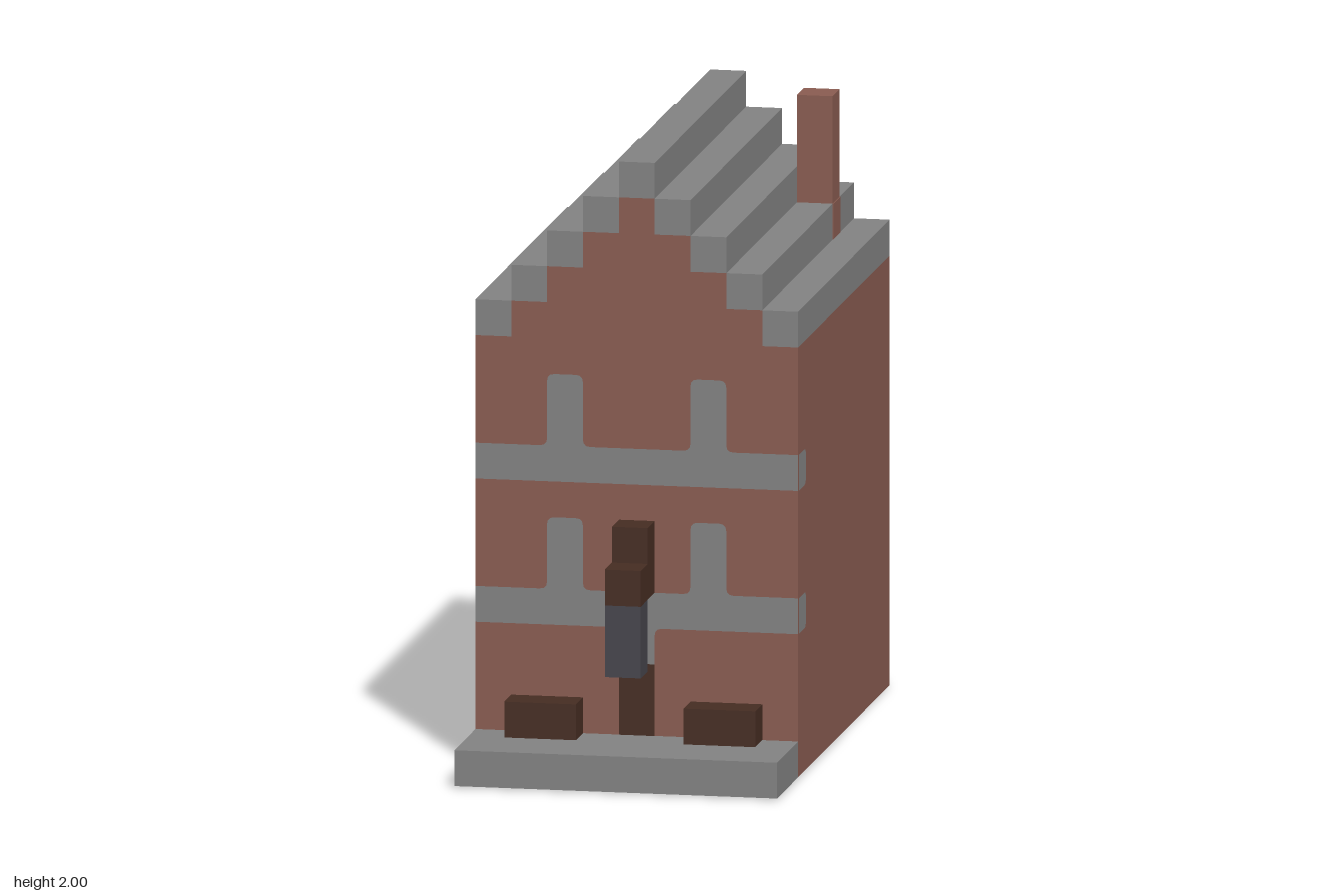
import * as THREE from 'three';

const mat = (name, color) => {
  const m = new THREE.MeshStandardMaterial({ color });
  m.name = name;
  return m;
};

export function createModel() {
  const brick = mat('brick', 0x885b50);
  const stone = mat('stone grey', 0x818181);
  const wood = mat('dark wood', 0x452c22);
  const slate = mat('slate', 0x45444b);

  // Everything is measured in blocks, 17 blocks tall
  const house = new THREE.Group();
  house.name = 'house';
  house.scale.setScalar(2 / 17);

  const add = (name, geometry, material) => {
    const mesh = new THREE.Mesh(geometry, material);
    mesh.name = name;
    house.add(mesh);
    return mesh;
  };

  const box = (name, material, [x0, x1], [y0, y1], [z0, z1]) =>
    add(name, new THREE.BoxGeometry(x1 - x0, y1 - y0, z1 - z0), material)
      .position.set((x0 + x1) / 2, (y0 + y1) / 2, (z0 + z1) / 2);

  // Flat painted patch with softened corners; a third value of 1 keeps a corner sharp
  const patch = (name, material, points, place) => {
    const shape = new THREE.Shape();
    const n = points.length;
    points.forEach((p, i) => {
      const corner = new THREE.Vector2(p[0], p[1]);
      const toward = (q) => new THREE.Vector2(q[0], q[1]).sub(corner).normalize()
        .multiplyScalar(p[2] ? 0 : 0.2).add(corner);
      const a = toward(points[(i + n - 1) % n]);
      const b = toward(points[(i + 1) % n]);
      if (i === 0) shape.moveTo(a.x, a.y);
      else shape.lineTo(a.x, a.y);
      if (!p[2]) shape.quadraticCurveTo(corner.x, corner.y, b.x, b.y);
    });
    place(add(name, new THREE.ShapeGeometry(shape, 3), material));
  };
  const rect = (x0, y0, x1, y1, sharp = 0) =>
    [[x0, y0, sharp], [x1, y0, sharp], [x1, y1, sharp], [x0, y1, sharp]];

  const gap = 0.02;
  const onFront = (m) => m.position.set(0, 0, 5 + gap);
  const onBack = (m) => { m.position.z = -8 - gap; m.rotation.y = Math.PI; };
  const onBottom = (lift) => (m) => { m.position.y = -gap * lift; m.rotation.x = Math.PI / 2; };
  const onSide = (s) => (m) => { m.position.x = s * (4.5 + gap); m.rotation.y = s * Math.PI / 2; };

  // Brick body with a stepped gable
  const gable = new THREE.Shape();
  gable.moveTo(-4.5, 0);
  for (let i = 0; i < 9; i++) {
    const top = 16 - Math.abs(i - 4);
    gable.lineTo(i - 4.5, top);
    gable.lineTo(i - 3.5, top);
  }
  gable.lineTo(4.5, 0);
  const body = new THREE.ExtrudeGeometry(gable, { depth: 13, bevelEnabled: false });
  body.translate(0, 0, -8);
  add('brickWalls', body, brick);

  // Stone roof steps
  for (let i = -4; i <= 4; i++) {
    const y = 16 - Math.abs(i);
    box('roofStep', stone, [i - 0.5, i + 0.5], [y, y + 1], [-8, 5]);
  }

  // Chimney, with its brick face continuing down the outer step
  box('chimney', brick, [2.5, 3.5], [14, 17], [-6, -5]);
  box('chimneyFoot', brick, [3.4, 3.5 + gap], [13, 14], [-6, -5]);

  // Front step, planters, lantern and its bracket
  box('frontStep', stone, [-4.5, 4.5], [0, 1], [5, 8]);
  for (const s of [-1, 1]) box('planter', wood, [s * 2.5 - 1, s * 2.5 + 1], [1, 2], [5, 6]);
  box('bracketPost', wood, [-0.5, 0.5], [6, 7], [5, 6]);
  box('bracketArm', wood, [-0.5, 0.5], [5, 6], [5, 7]);
  box('lantern', slate, [-0.5, 0.5], [3, 5], [6, 7]);

  // Front bands with windows rising from them; the lower one dips over the door
  const upperEdge = (y) => [
    [4.5, y, 1], [4.5, y + 1, 1], [2.5, y + 1], [2.5, y + 3], [1.5, y + 3], [1.5, y + 1],
    [-1.5, y + 1], [-1.5, y + 3], [-2.5, y + 3], [-2.5, y + 1], [-4.5, y + 1, 1], [-4.5, y, 1],
  ];
  patch('upperBand', stone, upperEdge(8), onFront);
  patch('lowerBand', stone,
    [...upperEdge(4), [-0.5, 4], [-0.5, 3, 1], [0.5, 3, 1], [0.5, 4]], onFront);
  patch('frontDoor', wood, rect(-0.5, 1, 0.5, 3, 1), onFront);

  // Band ends wrapping onto both side walls
  for (const y of [4, 8]) {
    patch('bandEnd', stone, [[-5, y, 1], [-4, y], [-4, y + 1], [-5, y + 1, 1]], onSide(1));
    patch('bandEnd', stone, [[4, y], [5, y, 1], [5, y + 1, 1], [4, y + 1]], onSide(-1));
  }

  // Back wall plaster and small back door
  patch('backPlaster', stone, [
    [-3.5, 1], [1.5, 1, 1], [1.5, 6], [0.5, 6], [0.5, 7], [-2.5, 7], [-2.5, 5], [-3.5, 5],
  ], onBack);
  patch('backDoor', slate, [[1.5, 1, 1], [2.5, 1], [2.5, 3], [1.5, 3, 1]], onBack);

  // Underside floor with stone patches
  patch('floor', wood, rect(-3.5, -7, 3.5, 4), onBottom(1));
  patch('floorStone', stone, [
    [-1.5, -6], [0.5, -6], [0.5, -7], [2.5, -7], [2.5, -6], [3.5, -6], [3.5, -5], [-1.5, -5],
  ], onBottom(2));
  patch('floorStone', stone, rect(-1.5, -2, -0.5, -1), onBottom(2));

  const model = new THREE.Group();
  model.name = 'steppedGableHouse';
  model.add(house);
  return model;
}
